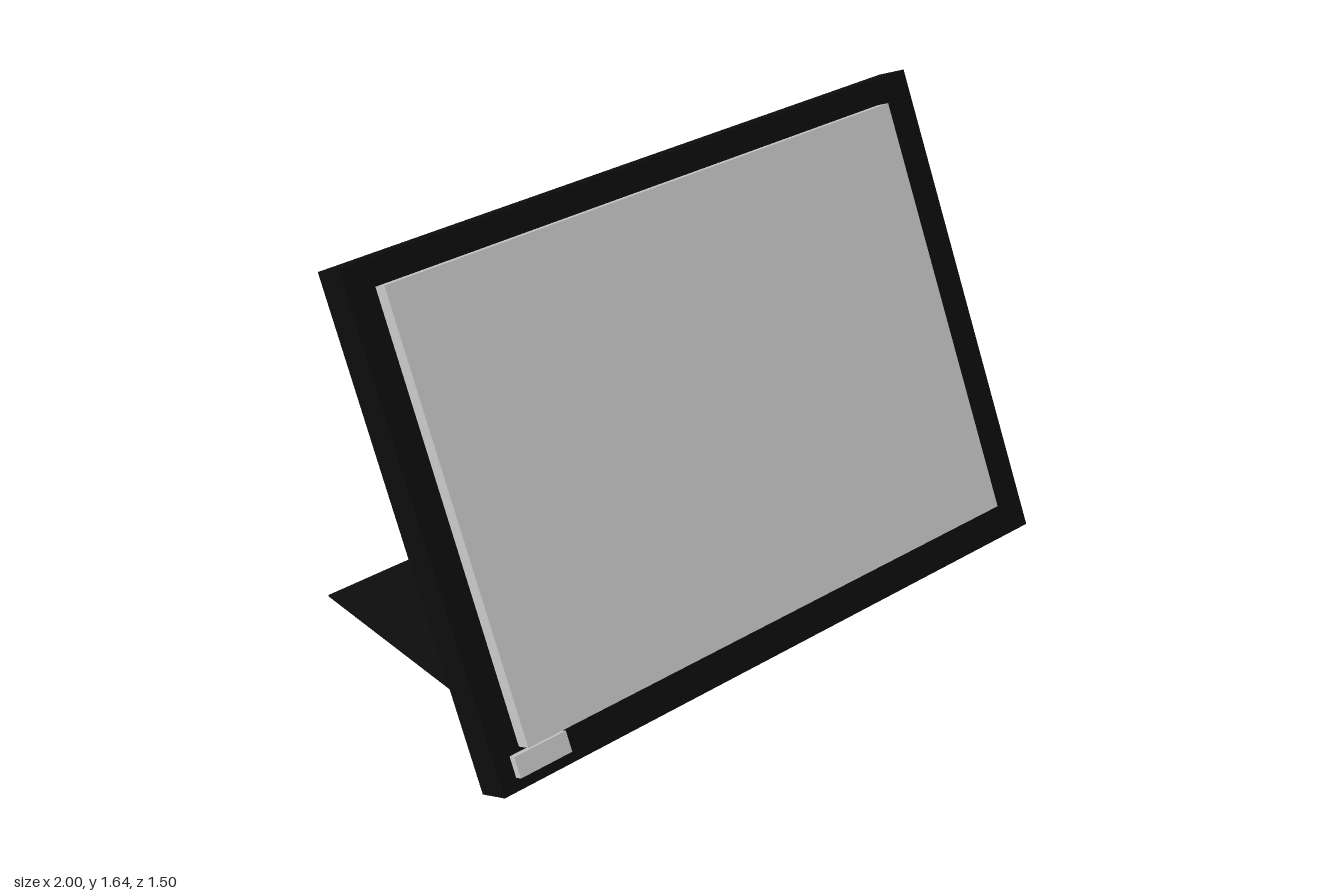
import * as THREE from 'three';

export function createModel() {
  const model = new THREE.Group();
  const black = new THREE.MeshStandardMaterial({ color: 0x0d0d0d });
  const grey = new THREE.MeshStandardMaterial({ color: 0xcccccc });

  function add(parent, name, geometry, material) {
    const mesh = new THREE.Mesh(geometry, material);
    mesh.name = name;
    parent.add(mesh);
    return mesh;
  }

  // box given by its lower and upper corner
  function box(parent, name, a, b, material) {
    const geometry = new THREE.BoxGeometry(b[0] - a[0], b[1] - a[1], b[2] - a[2]);
    geometry.translate((a[0] + b[0]) / 2, (a[1] + b[1]) / 2, (a[2] + b[2]) / 2);
    return add(parent, name, geometry, material);
  }

  // tilted head: local z is the screen normal
  const head = new THREE.Group();
  head.name = 'head';
  head.position.set(0, 0.978, 0.387);
  head.rotation.x = -0.4504;
  model.add(head);

  box(head, 'housing', [-1, -0.71, -0.0525], [1, 0.71, 0.0525], black);
  box(head, 'screen', [-0.915, -0.603, 0.04], [0.865, 0.637, 0.097], grey);
  box(head, 'badge', [-0.95, -0.6745, 0.04], [-0.78, -0.615, 0.075], grey);
  box(head, 'backPlate', [-0.53, -0.486, -0.14], [0.53, 0.486, -0.05], black);

  // back cover tapering to the neck
  const taper = new THREE.BoxGeometry(1.06, 0.972, 0.092);
  const p = taper.attributes.position;
  for (let i = 0; i < p.count; i++) {
    if (p.getZ(i) < 0) {
      p.setX(i, Math.sign(p.getX(i)) * 0.082);
      p.setY(i, Math.sign(p.getY(i)) * 0.08);
    }
  }
  taper.translate(0, 0, -0.186);
  taper.computeVertexNormals();
  add(head, 'backCover', taper, black);

  // bent neck: side profile as (z, y), extruded across x
  const profile = new THREE.Shape([
    [0.148, 0.945], [0.213, 0.8], [-0.165, 0.104],
    [-0.165, 0], [-0.317, 0], [-0.317, 0.26],
  ].map(([z, y]) => new THREE.Vector2(z, y)));
  const neck = new THREE.ExtrudeGeometry(profile, { depth: 0.164, bevelEnabled: false });
  neck.translate(0, 0, -0.082);
  neck.rotateY(-Math.PI / 2);
  add(model, 'neck', neck, black);

  // thin foot plate
  box(model, 'base', [-0.55, 0, -0.75], [0.55, 0.005, 0.25], black);

  return model;
}
